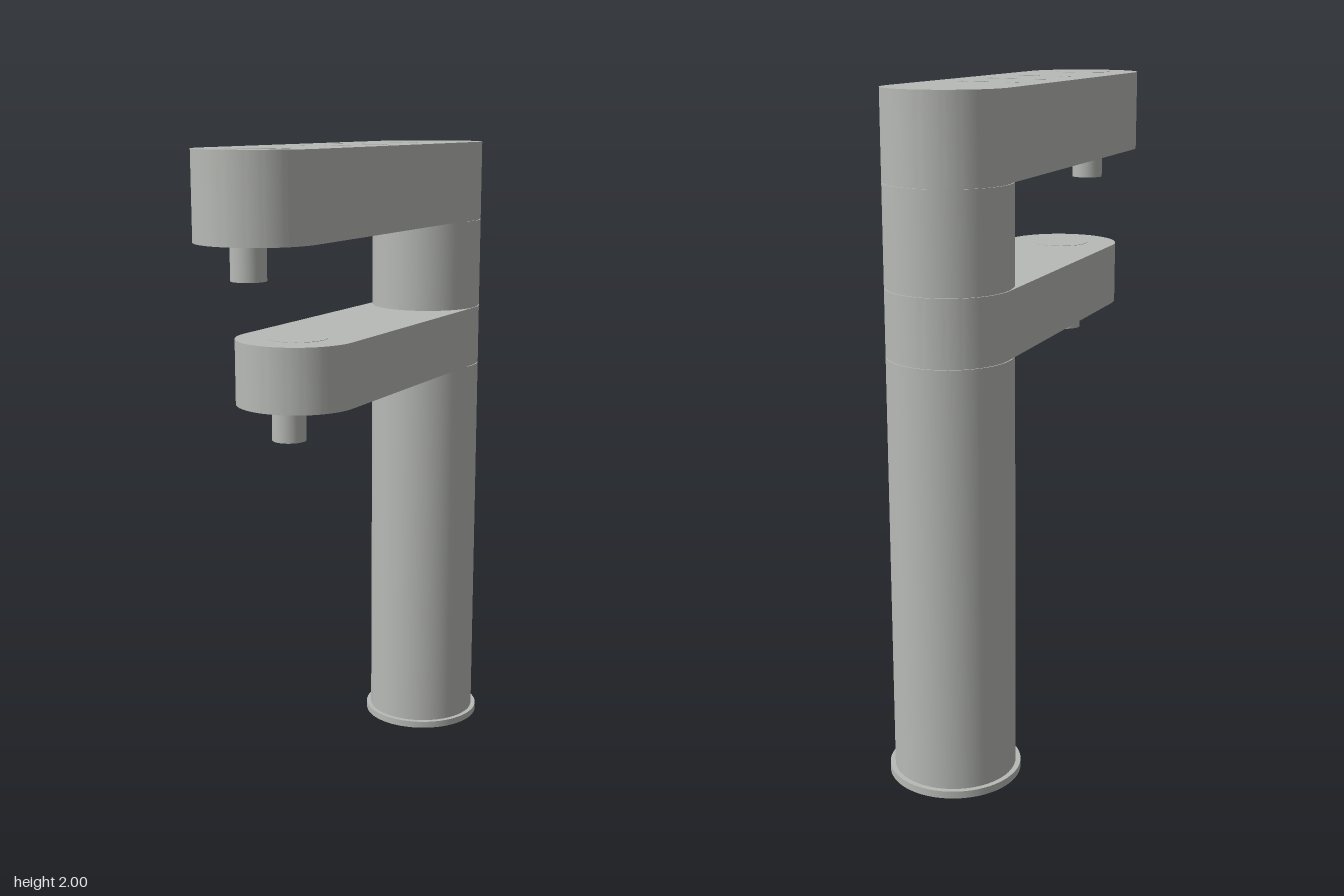
import * as THREE from 'three';
import { toCreasedNormals } from 'three/addons/utils/BufferGeometryUtils.js';

const R = 0.18;        // column radius and arm half width
const BACK = -0.52;    // z of the column axis

export function createModel() {
  const model = new THREE.Group();
  model.name = 'twinSpoutTap';
  const metal = new THREE.MeshStandardMaterial({ color: 0xb8bab6 });
  metal.name = 'brushed metal grey';

  function add(name, geometry, parent = model) {
    const mesh = new THREE.Mesh(geometry, metal);
    mesh.name = name;
    parent.add(mesh);
    return mesh;
  }

  // Upright cylinder between two heights
  function cylinder(name, r, y0, y1, x, z, parent, sides = 64) {
    const mesh = add(name, new THREE.CylinderGeometry(r, r, y1 - y0, sides), parent);
    mesh.position.set(x, (y0 + y1) / 2, z);
    return mesh;
  }

  // Round-ended arm from the column axis forward to a front end centre
  function arm(name, y0, y1, frontZ, parent) {
    const shape = new THREE.Shape();
    shape.absarc(0, -BACK, R, 0, Math.PI, false);
    shape.absarc(0, -frontZ, R, Math.PI, Math.PI * 2, false);
    shape.closePath();
    const geometry = new THREE.ExtrudeGeometry(shape, {
      depth: y1 - y0, bevelEnabled: false, curveSegments: 32,
    });
    geometry.rotateX(-Math.PI / 2).translate(0, y0, 0);
    return add(name, toCreasedNormals(geometry, 0.6), parent);
  }

  // Column: base flange, two body sections and recessed seams
  cylinder('baseFlange', 0.195, 0, 0.022, 0, BACK);
  cylinder('lowerColumn', R, 0.022, 1.267, 0, BACK);
  cylinder('upperColumn', R, 1.464, 1.747, 0, BACK);
  for (const y of [1.267, 1.461, 1.747]) {
    cylinder('seam', R - 0.004, y, y + 0.003, 0, BACK);
  }

  // Two arms, each with a round cap plate and a nozzle
  const arms = [
    { name: 'upper', y0: 1.75, y1: 1.999, front: 0.54, nozzle: 0.595 },
    { name: 'lower', y0: 1.27, y1: 1.461, front: 0.34, nozzle: 0.39 },
  ];
  for (const { name, y0, y1, front, nozzle } of arms) {
    const group = new THREE.Group();
    group.name = name + 'Spout';
    model.add(group);
    arm(name + 'Arm', y0, y1, front, group);
    cylinder(name + 'Cap', 0.089, y1 - 0.004, y1 + 0.001, 0, front, group);
    cylinder(name + 'Nozzle', 0.05, y0 - 0.1, y0 + 0.005, 0, nozzle, group, 32);
  }

  // Controls on the upper arm: a button and a pair of marker bars in each row
  for (const z of [-0.25, -0.04, 0.17]) {
    cylinder('button', 0.018, 1.995, 2, -0.076, z, model, 32);
    for (const dz of [-0.004, 0.019]) {
      add('markerBar', new THREE.BoxGeometry(0.083, 0.005, 0.006)).position.set(0.048, 1.9975, z + dz);
    }
  }
  return model;
}
